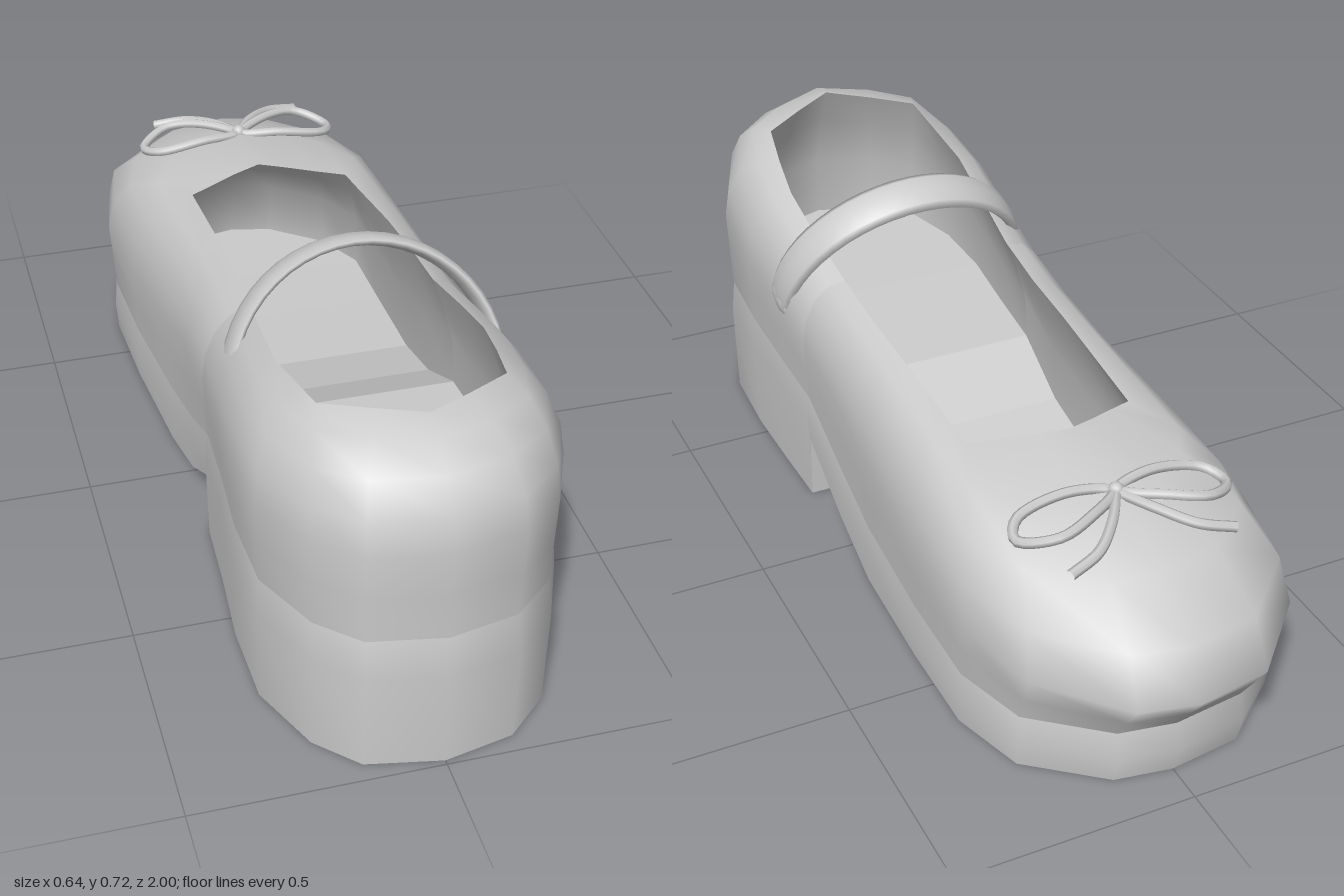
import * as THREE from 'three';

const material = new THREE.MeshStandardMaterial({ color: 0xcccccc });
const flatMaterial = new THREE.MeshStandardMaterial({ color: 0xcccccc, flatShading: true });

// Stations from toe (-z) to heel (+z): z, +x half width, -x half width of the shoe
const outline = [
  [-1, 0, 0], [-0.975, 0.12, 0.155], [-0.83, 0.27, 0.295], [-0.65, 0.32, 0.325],
  [-0.4, 0.32, 0.315], [-0.13, 0.31, 0.29], [0.05, 0.302, 0.282], [0.215, 0.304, 0.284],
  [0.22, 0.304, 0.284], [0.38, 0.308, 0.292], [0.55, 0.31, 0.305], [0.73, 0.3, 0.3],
  [0.88, 0.235, 0.235], [0.96, 0.145, 0.155], [0.99, 0, 0],
];
// Foot opening at the same stations
const opening = [
  [-0.45, 0, 0], [-0.43, 0.06, 0.06], [-0.405, 0.13, 0.12], [-0.385, 0.19, 0.17],
  [-0.28, 0.195, 0.17], [-0.1, 0.205, 0.17], [0.05, 0.21, 0.17], [0.195, 0.21, 0.178],
  [0.2, 0.21, 0.178], [0.36, 0.215, 0.19], [0.5, 0.215, 0.2], [0.61, 0.2, 0.19],
  [0.72, 0.18, 0.18], [0.775, 0.09, 0.09], [0.825, 0, 0],
];

// Heights along the length, as [z, value] pairs
const openingY = [[-0.45, 0.5], [-0.385, 0.48], [-0.1, 0.52], [0.2, 0.55], [0.5, 0.62], [0.72, 0.67], [0.825, 0.69]];
const widestY = [[-1, 0.23], [-0.65, 0.26], [-0.15, 0.32], [0.22, 0.4], [0.7, 0.47], [1, 0.5]];
const seamY = [[-1, 0.12], [-0.5, 0.12], [-0.15, 0.135], [0, 0.16], [0.22, 0.26], [0.6, 0.285], [1, 0.3]];
const bulgeY = [[-1, 0.06], [-0.3, 0.06], [0, 0.11], [0.2, 0.2], [1, 0.22]];
const baseY = [[-1, 0], [-0.13, 0], [0.05, 0.05], [0.215, 0.15], [0.22, 0], [1, 0]];
const toeInset = [[-1, 0.08], [-0.83, 0.05], [-0.4, 0], [1, 0]];

function at(table, z) {
  if (z <= table[0][0]) return table[0][1];
  for (let i = 1; i < table.length; i++) {
    const [z0, v0] = table[i - 1], [z1, v1] = table[i];
    if (z <= z1) return v0 + (v1 - v0) * (z - z0) / (z1 - z0);
  }
  return table[table.length - 1][1];
}

// Closed ring: down the +x side from toe to heel, back along the -x side
function ring(stations, yTable, widthScale = 1, inset = 0, heelShift = 0) {
  const point = ([z, right, left], side) => new THREE.Vector3(
    (side > 0 ? right : -left) * widthScale,
    at(yTable, z),
    z + inset * at(toeInset, z) + heelShift * Math.max(0, (z - 0.6) / 0.39));
  return [
    ...stations.map((s) => point(s, 1)),
    ...stations.slice(1, -1).reverse().map((s) => point(s, -1)),
  ];
}

function loft(rings) {
  const m = rings[0].length, index = [];
  for (let k = 0; k < rings.length - 1; k++) {
    for (let i = 0; i < m; i++) {
      const j = (i + 1) % m, a = k * m, b = a + m;
      index.push(a + i, a + j, b + i, a + j, b + j, b + i);
    }
  }
  const geometry = new THREE.BufferGeometry().setFromPoints(rings.flat());
  geometry.setIndex(index);
  geometry.computeVertexNormals();
  return geometry;
}

// Strip across a ring, joining each +x point to its -x partner
function cap(points, facesUp) {
  const m = points.length, index = [];
  for (let i = 0; i < m / 2; i++) {
    const r0 = i, r1 = i + 1, l0 = (m - i) % m, l1 = m - i - 1;
    if (facesUp) index.push(r0, l0, r1, r1, l0, l1);
    else index.push(r0, r1, l0, r1, l1, l0);
  }
  let geometry = new THREE.BufferGeometry().setFromPoints(points);
  geometry.setIndex(index);
  geometry = geometry.toNonIndexed();
  geometry.computeVertexNormals();
  return geometry;
}

export function createModel() {
  const group = new THREE.Group();
  const add = (name, geometry, mat = material, parent = group) => {
    const mesh = new THREE.Mesh(geometry, mat);
    mesh.name = name;
    parent.add(mesh);
    return mesh;
  };

  const rim = ring(opening, openingY);
  const widest = ring(outline, widestY);
  const seam = ring(outline, seamY, 0.975, 1, -0.008);
  const bulge = ring(outline, bulgeY, 0.995, 0.87, 0.01);
  const base = ring(outline, baseY, 0.985, 1.05, 0);

  // Upper: rounds over from the opening to the widest line, then tucks in to the seam
  const shoulders = [0.25, 0.5, 0.75].map((f) => {
    const t = f * Math.PI / 2;
    return rim.map((o, i) => {
      const w = widest[i], p = o.clone().lerp(w, Math.sin(t));
      p.y = w.y + (o.y - w.y) * Math.cos(t);
      return p;
    });
  });
  const tuck = widest.map((w, i) => w.clone().lerp(seam[i], 0.5));
  add('upper', loft([rim, ...shoulders, widest, tuck, seam]));

  // Lining and insole
  const inside = (f, h) => rim.map((o, i) => {
    const p = o.clone().lerp(widest[i], f);
    p.y = o.y + (seam[i].y + 0.03 - o.y) * h;
    return p;
  });
  const floor = inside(0.55, 1);
  add('lining', loft([floor, inside(0.5, 0.6), inside(0.25, 0.25), rim]));
  add('insole', cap(floor, true), flatMaterial);

  // Sole with block heel
  add('sole', loft([seam, bulge, base]));
  add('soleBottom', cap(base, false), flatMaterial);

  // Strap: flattened half ring leaning toward the toe, with rounded ends
  const strap = new THREE.Group();
  strap.name = 'strap';
  const radius = 0.28;
  add('strapBand', new THREE.TorusGeometry(radius, 0.014, 8, 24, Math.PI), material, strap).scale.z = 3.5;
  for (const side of [-1, 1]) {
    const end = add('strapEnd', new THREE.SphereGeometry(1, 12, 8), material, strap);
    end.position.x = side * radius;
    end.scale.set(0.014, 0.03, 0.049);
  }
  strap.position.set(0.02, 0.445, 0.36);
  strap.rotation.x = -0.445;
  group.add(strap);

  // Bow: two loops and two tails of cord
  const bow = new THREE.Group();
  bow.name = 'bow';
  const cord = (name, points, closed, side) => {
    const curve = new THREE.CatmullRomCurve3(
      points.map(([x, y, z]) => new THREE.Vector3(x * side, y, z)), closed);
    add(name, new THREE.TubeGeometry(curve, 32, 0.011, 6, closed), material, bow);
  };
  for (const side of [-1, 1]) {
    cord('bowLoop', [[0.005, 0.48, -0.645], [0.08, 0.485, -0.705], [0.16, 0.475, -0.73],
      [0.225, 0.455, -0.68], [0.2, 0.465, -0.63], [0.09, 0.485, -0.62]], true, side);
    cord('bowTail', [[0, 0.48, -0.65], [0.045, 0.475, -0.72], [0.105, 0.46, -0.78],
      [0.175, 0.445, -0.803]], false, side);
  }
  const knot = add('bowKnot', new THREE.SphereGeometry(0.016, 10, 8), material, bow);
  knot.position.set(0, 0.483, -0.648);
  group.add(bow);

  return group;
}
